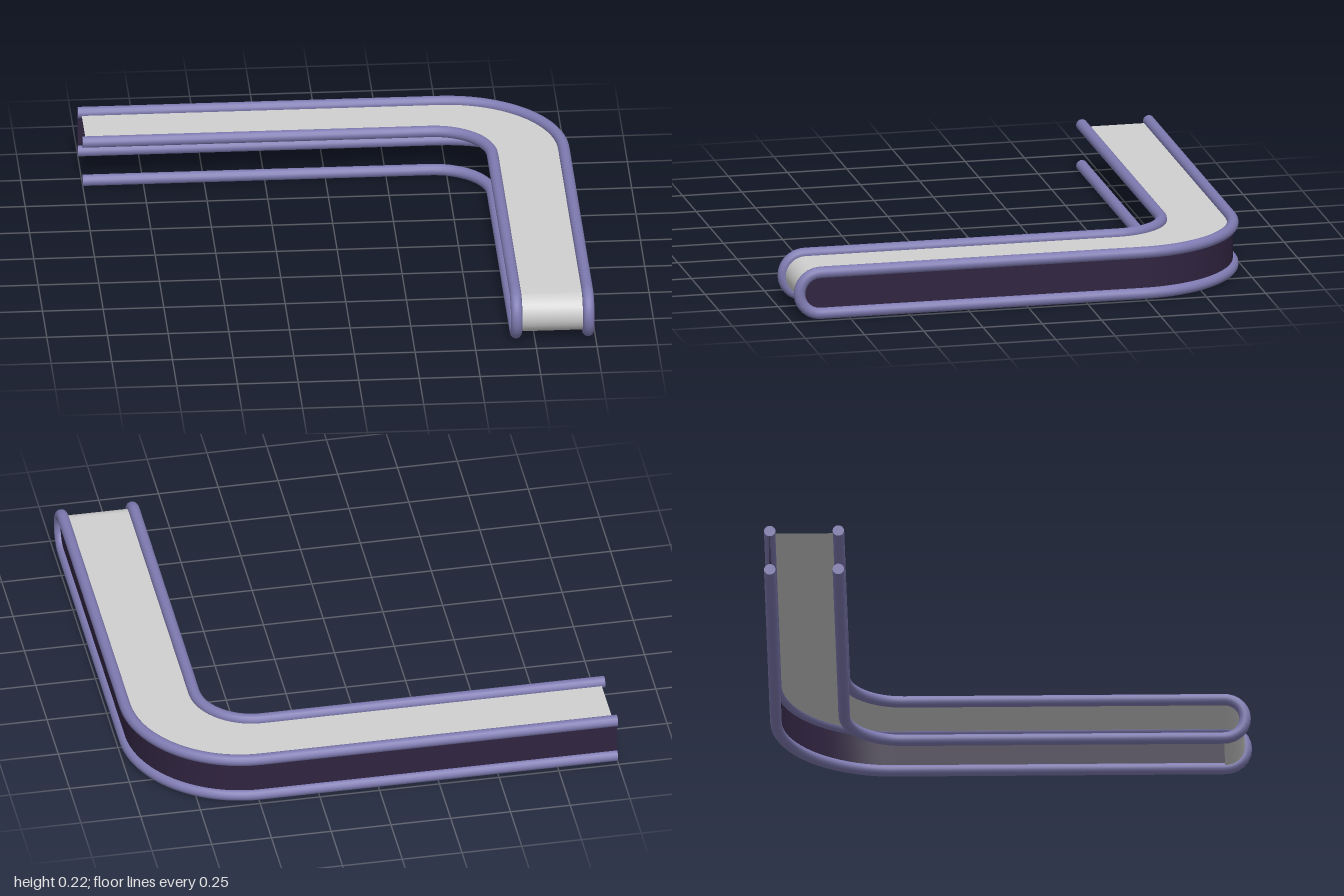
import * as THREE from 'three';

const TUBE = 0.024, MID = 0.111, RAIL_R = 0.087, BELT_R = 0.082, END_Z = 0.873;
const OUTER = { x: 0.969, z: -0.966, bend: 0.48 };
const INNER = { x: 0.672, z: -0.684, bend: 0.24 };

// Upper half of a side: long arm, rounded corner, short arm, quarter turn down at the end
function halfPath({ x, z, bend }, startX, r, endAngle = Math.PI / 2) {
  const points = [];
  const y = MID + r;
  for (let i = 0; i < 12; i++) {
    points.push(new THREE.Vector3(THREE.MathUtils.lerp(startX, x - bend, i / 12), y, z));
  }
  for (let i = 0; i <= 20; i++) {
    const a = (i / 20) * Math.PI / 2;
    points.push(new THREE.Vector3(x - bend + bend * Math.sin(a), y, z + bend - bend * Math.cos(a)));
  }
  for (let i = 1; i < 12; i++) {
    points.push(new THREE.Vector3(x, y, THREE.MathUtils.lerp(z + bend, END_Z, i / 12)));
  }
  for (let i = 0; i <= 16; i++) {
    const a = (i / 16) * endAngle;
    points.push(new THREE.Vector3(x, MID + r * Math.cos(a), END_Z + r * Math.sin(a)));
  }
  return points;
}

const flip = (points) => points.map((p) => new THREE.Vector3(p.x, 2 * MID - p.y, p.z));

// Smooth ribbon joining two matching lines of points
function ribbon(a, b) {
  const positions = [], index = [];
  a.forEach((p, i) => {
    positions.push(...p.toArray(), ...b[i].toArray());
    if (i > 0) {
      const k = 2 * i - 2;
      index.push(k, k + 1, k + 2, k + 1, k + 3, k + 2);
    }
  });
  const geometry = new THREE.BufferGeometry();
  geometry.setAttribute('position', new THREE.Float32BufferAttribute(positions, 3));
  geometry.setIndex(index);
  geometry.computeVertexNormals();
  return geometry;
}

export function createModel() {
  const railMaterial = new THREE.MeshStandardMaterial({ color: 0x7f7bb2 });
  railMaterial.name = 'railViolet';
  const panelMaterial = new THREE.MeshStandardMaterial({ color: 0x2f233f, side: THREE.DoubleSide });
  panelMaterial.name = 'panelDarkPurple';
  const beltMaterial = new THREE.MeshStandardMaterial({ color: 0xd0d0d0, side: THREE.DoubleSide });
  beltMaterial.name = 'beltGrey';

  const model = new THREE.Group();
  model.name = 'cornerConveyor';
  const add = (name, geometry, material, parent = model) => {
    const mesh = new THREE.Mesh(geometry, material);
    mesh.name = name;
    parent.add(mesh);
    return mesh;
  };

  // Tubular side rails, each running out on top and back underneath
  for (const [name, side] of [['outerRail', OUTER], ['innerRail', INNER]]) {
    const rail = new THREE.Group();
    rail.name = name;
    model.add(rail);
    const top = halfPath(side, -1, RAIL_R);
    const path = [...top, ...flip(top).reverse().slice(1)];
    const curve = new THREE.CatmullRomCurve3(path);
    curve.arcLengthDivisions = 1500;
    add(name + 'Tube', new THREE.TubeGeometry(curve, 320, TUBE, 14), railMaterial, rail);
    for (const y of [MID + RAIL_R, MID - RAIL_R]) {
      const cap = add(name + 'Cap', new THREE.CircleGeometry(TUBE, 14), railMaterial, rail);
      cap.rotation.y = -Math.PI / 2;
      cap.position.set(-1, y, side.z);
    }
  }

  // Panel closing the outer side between its rails
  const panelTop = halfPath(OUTER, -1, RAIL_R);
  add('outerPanel', ribbon(flip(panelTop), panelTop), panelMaterial);

  // Belt surface, curling under at the short end
  const beltOuter = halfPath(OUTER, -0.985, BELT_R, Math.PI);
  const beltInner = halfPath(INNER, -0.985, BELT_R, Math.PI);
  add('belt', ribbon(beltOuter, beltInner), beltMaterial);

  return model;
}
